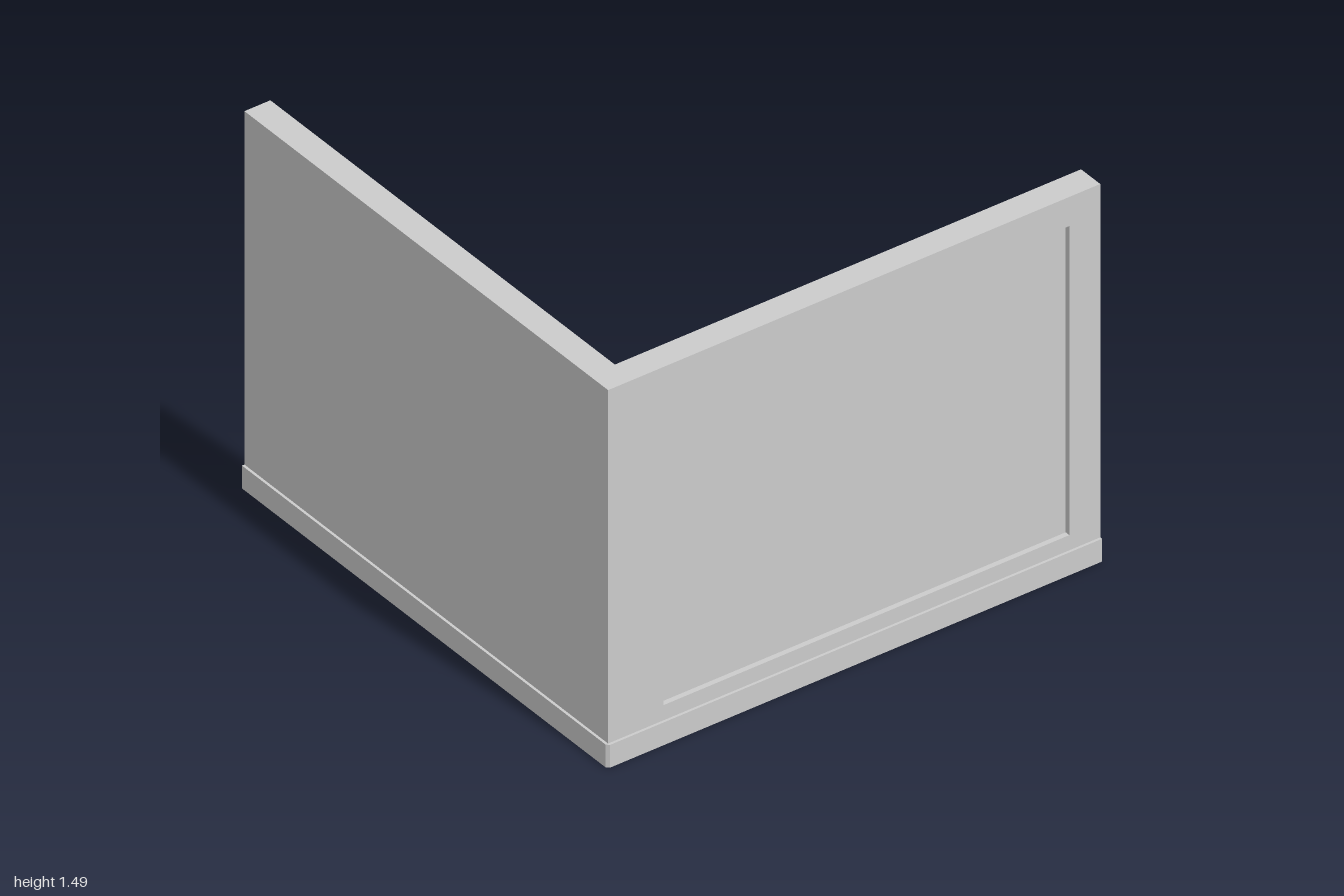
import * as THREE from 'three';

const material = new THREE.MeshStandardMaterial({ color: 0xcccccc, flatShading: true });

const HEIGHT = 1.485, BASE = 0.09;
const OUTER = 0.99, INNER = 0.885;   // wall faces
const LIP = 0.01;                    // how far the skirting stands proud
const RECESS = 0.02;                 // panel depth on each face

const polygon = (points) => new THREE.Shape(points.map(([x, y]) => new THREE.Vector2(x, y)));

const rectangle = (x0, x1, y0, y1) => [[x0, y0], [x1, y0], [x1, y1], [x0, y1]];

function addPart(group, name, geometry) {
  const mesh = new THREE.Mesh(geometry, material);
  mesh.name = name;
  group.add(mesh);
  return mesh;
}

function box(x0, x1, y0, y1, z0, z1) {
  return new THREE.BoxGeometry(x1 - x0, y1 - y0, z1 - z0)
    .translate((x0 + x1) / 2, (y0 + y1) / 2, (z0 + z1) / 2);
}

export function createModel() {
  const group = new THREE.Group();
  group.name = 'cornerWalls';

  // L-shaped skirting, proud of both wall faces, clipped at the outer corner
  const out = OUTER + LIP, inn = INNER - LIP;
  const plan = [
    [-out, -OUTER], [-OUTER, -out], [1, -out], [1, -inn],
    [-inn, -inn], [-inn, 1], [-out, 1],
  ];
  const skirting = new THREE.ExtrudeGeometry(polygon(plan), { depth: BASE, bevelEnabled: false });
  addPart(group, 'skirting', skirting.rotateX(-Math.PI / 2));

  // Plain side wall
  addPart(group, 'sideWall', box(-OUTER, -INNER, BASE, HEIGHT, -1, INNER));

  // Front wall frame with an opening
  const opening = [-0.765, 0.875, 0.15, 1.37];
  const frame = polygon(rectangle(-OUTER, 1, BASE, HEIGHT));
  frame.holes.push(polygon(rectangle(...opening)));
  const frameGeometry = new THREE.ExtrudeGeometry(frame, { depth: OUTER - INNER, bevelEnabled: false });
  addPart(group, 'frontWallFrame', frameGeometry.translate(0, 0, INNER));

  // Panel set back from both faces of the frame
  addPart(group, 'recessedPanel', box(...opening, INNER + RECESS, OUTER - RECESS));

  return group;
}
